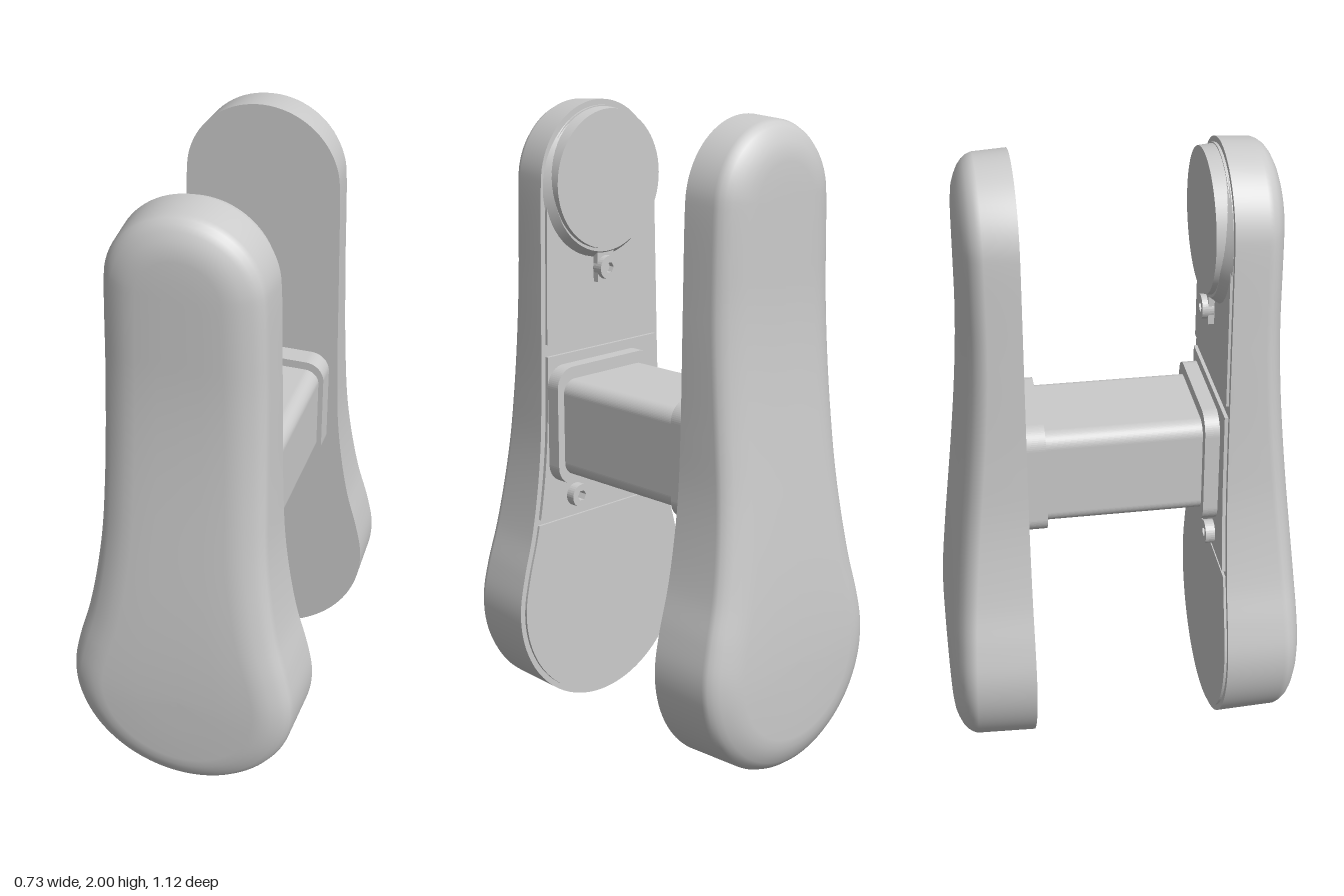
import * as THREE from 'three';

const grey = () => new THREE.MeshStandardMaterial({ color: 0xcccccc });
const INNER = 0.305; // z of the flat inner face of each pad
const N = 240;

// Closed paddle outline: round foot, waisted sides, round head
function makeOutline() {
  const half = [];
  for (let i = 0; i <= 10; i++) {
    const a = -Math.PI / 2 + (i / 10) * (Math.PI / 2 + 0.12);
    half.push([0.367 * Math.cos(a), 0.372 + 0.367 * Math.sin(a)]);
  }
  half.push([0.345, 0.51], [0.312, 0.63], [0.286, 0.77], [0.268, 0.92], [0.259, 1.1], [0.251, 1.45]);
  for (let i = 0; i <= 8; i++) {
    const a = (i / 8) * Math.PI / 2;
    half.push([0.243 * Math.cos(a), 1.757 + 0.243 * Math.sin(a)]);
  }
  const mirrored = half.slice(1, -1).reverse().map(([x, y]) => [-x, y]);
  const pts = [...half, ...mirrored].map(([x, y]) => new THREE.Vector3(x, y, 0));
  const curve = new THREE.CatmullRomCurve3(pts, true);
  curve.arcLengthDivisions = 1000;
  return Array.from({ length: N }, (_, i) => {
    const p = curve.getPointAt(i / N), t = curve.getTangentAt(i / N);
    return { x: p.x, y: p.y, nx: -t.y, ny: t.x }; // n points inward
  });
}
const outline = makeOutline();
const inset = (d) => outline.map((p) => [p.x + p.nx * d, p.y + p.ny * d]);

// Crown of the outer face: thick at the foot, thinner towards the head
const crown = (y) => 0.56 - 0.085 * THREE.MathUtils.smoothstep(y, 0.3, 1.55);

// Pad lofted from insets of the outline, closing on the centre line
function padGeometry() {
  const spine = outline.map((p) => [0, THREE.MathUtils.clamp(p.y, 0.372, 1.757)]);
  const flat = (ring) => ring.map(([x, y]) => [x, y, INNER]);
  const rings = [flat(spine), flat(inset(0)), flat(inset(0))];
  const edge = [[0.006, 0.068], [0.013, 0.052], [0.024, 0.038], [0.04, 0.026], [0.065, 0.014], [0.09, 0.006], [0.12, 0.002]];
  for (const [d, drop] of edge) rings.push(inset(d).map(([x, y]) => [x, y, crown(y) - drop]));
  for (const f of [0.5, 1]) {
    rings.push(inset(0.12).map(([x, y], i) => {
      const py = y + (spine[i][1] - y) * f;
      return [x * (1 - f), py, crown(py)];
    }));
  }
  const index = [];
  for (let r = 0; r < rings.length - 1; r++) {
    if (r === 1) continue; // hard edge around the inner face
    for (let j = 0; j < N; j++) {
      const k = (j + 1) % N, a = r * N + j, b = r * N + k;
      index.push(a, b, b + N, a, b + N, a + N);
    }
  }
  const g = new THREE.BufferGeometry();
  g.setAttribute('position', new THREE.Float32BufferAttribute(rings.flat(2), 3));
  g.setIndex(index);
  g.computeVertexNormals();
  return g;
}

// Slice of the inset outline between two heights, as a thin panel
function panelGeometry(y0, y1, z) {
  const pts = inset(0.018).filter(([, y]) => y > y0 && y < y1).map(([x, y]) => new THREE.Vector2(x, y));
  return new THREE.ExtrudeGeometry(new THREE.Shape(pts), { depth: INNER + 0.005 - z, bevelEnabled: false }).translate(0, 0, z);
}

// Rounded rectangular bar along z
function barGeometry(w, h, r, z0, z1) {
  const s = new THREE.Shape(), x = w / 2, y = h / 2;
  s.absarc(x - r, y - r, r, 0, Math.PI / 2);
  s.absarc(-x + r, y - r, r, Math.PI / 2, Math.PI);
  s.absarc(-x + r, -y + r, r, Math.PI, Math.PI * 1.5);
  s.absarc(x - r, -y + r, r, Math.PI * 1.5, Math.PI * 2);
  return new THREE.ExtrudeGeometry(s, { depth: z1 - z0, bevelEnabled: false, curveSegments: 8 }).translate(0, 0, z0);
}

export function createModel() {
  const model = new THREE.Group();
  const add = (name, geometry, x = 0, y = 0, z = 0, parent = model) => {
    const m = new THREE.Mesh(geometry, grey());
    m.name = name;
    m.position.set(x, y, z);
    parent.add(m);
    return m;
  };

  // Front and back pads
  const pad = padGeometry();
  add('frontPad', pad);
  add('backPad', pad).rotation.y = Math.PI;

  // Panels on the inner side of the front pad, with seams between them
  add('lowerPanel', panelGeometry(-1, 0.68, 0.297));
  add('middlePanel', panelGeometry(0.685, 1.235, 0.294));
  add('upperPanel', panelGeometry(1.24, 3, 0.297));

  // Connecting post with a collar at each end
  add('post', barGeometry(0.365, 0.315, 0.045, -0.3, 0.3), 0.032, 0.988);
  add('backCollar', barGeometry(0.405, 0.365, 0.06, -0.31, -0.238), 0.028, 0.99);
  add('frontCollar', barGeometry(0.425, 0.385, 0.065, 0.248, 0.3), 0.028, 0.992);

  // Round disc in the head with a low flared base
  const disc = (rFront, rBack, depth) => new THREE.CylinderGeometry(rFront, rBack, depth, 64).rotateX(Math.PI / 2);
  add('headDisc', disc(0.222, 0.218, 0.045), 0, 1.757, 0.2785);
  add('discFairing', disc(0.238, 0.215, 0.03), 0, 1.742, 0.287);
  add('boltTab', new THREE.BoxGeometry(0.07, 0.1, 0.02), 0, 1.48, 0.288);

  // Bolts: a round head with a hexagonal socket
  const head = new THREE.Shape().absarc(0, 0, 0.038, 0, Math.PI * 2);
  const socket = new THREE.Path();
  for (let i = 0; i < 6; i++) {
    const a = -i * Math.PI / 3, px = 0.018 * Math.cos(a), py = 0.018 * Math.sin(a);
    if (i) socket.lineTo(px, py); else socket.moveTo(px, py);
  }
  socket.closePath();
  head.holes.push(socket);
  const bolt = new THREE.ExtrudeGeometry(head, { depth: 0.036, bevelEnabled: false, curveSegments: 16 });
  add('upperBolt', bolt, 0, 1.475, 0.26);
  for (const side of [1, -1]) add(side > 0 ? 'leftBolt' : 'rightBolt', bolt, side * 0.13, 0.742, 0.264);

  return model;
}
